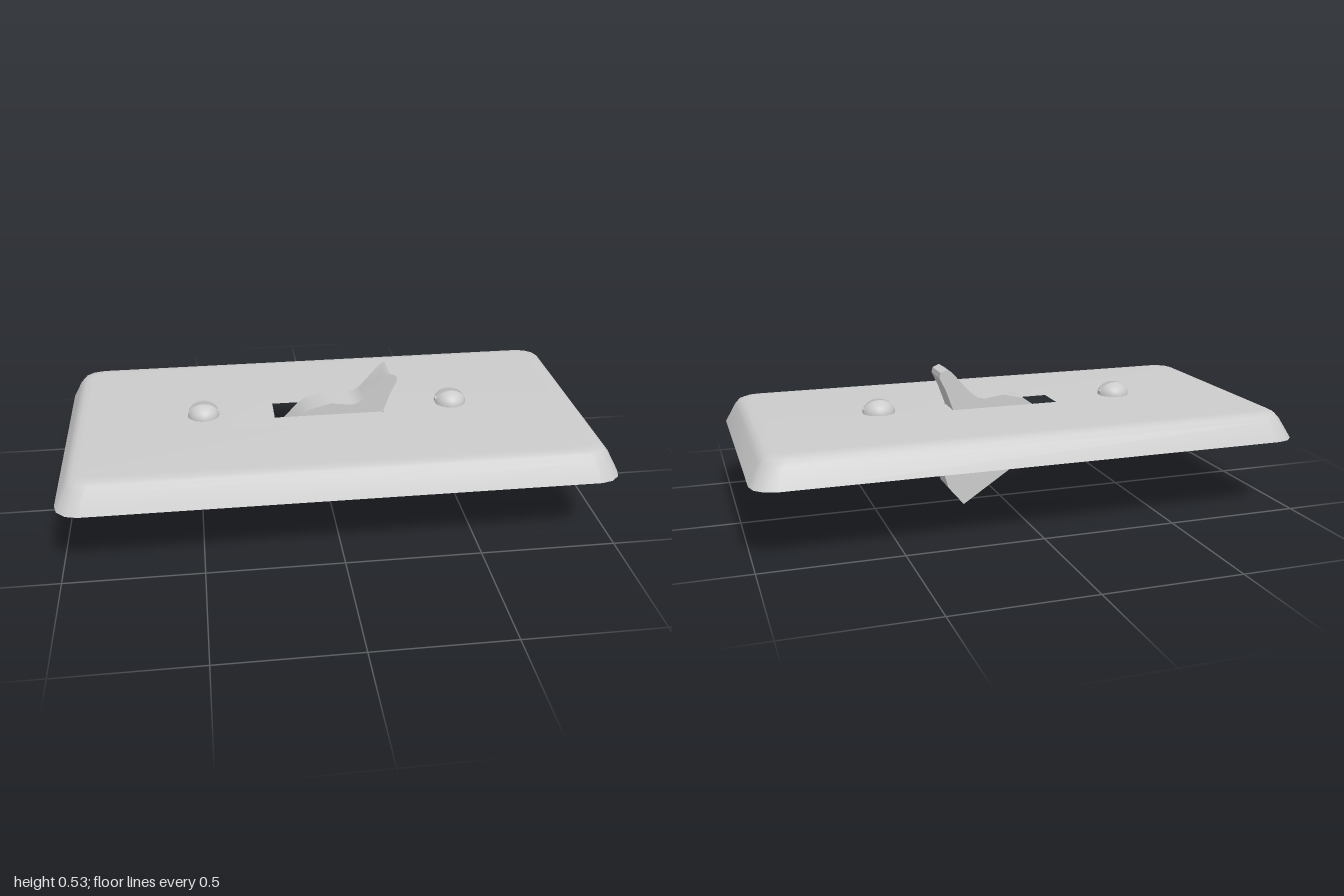
import * as THREE from 'three';
import { mergeGeometries, toCreasedNormals } from 'three/addons/utils/BufferGeometryUtils.js';

const material = new THREE.MeshStandardMaterial({ color: 0xcccccc, side: THREE.DoubleSide });
const TOP = 0.38;
const SLOT = 0.012; // half width of the screw slot

function addMesh(parent, name, geometry) {
  const mesh = new THREE.Mesh(geometry, material);
  mesh.name = name;
  parent.add(mesh);
  return mesh;
}

// Rounded rectangle seen from above, counter-clockwise, as (x, -z) points
function outline(inset) {
  const hx = 1 - inset, hz = 0.523 - inset, r = 0.085 - inset * 0.3, steps = 3;
  const points = [];
  [[1, 1], [-1, 1], [-1, -1], [1, -1]].forEach(([sx, sz], corner) => {
    for (let i = 0; i <= steps; i++) {
      const a = (corner + i / steps) * Math.PI / 2;
      points.push(new THREE.Vector2(sx * (hx - r) + r * Math.cos(a), sz * (hz - r) + r * Math.sin(a)));
    }
  });
  return points;
}

// Open-backed cover: sloping rim rings plus a flat top with the lever opening
function plateGeometry() {
  const profile = [[0, 0.28], [0.036, 0.352], [0.05, 0.37], [0.066, 0.378], [0.088, TOP]];
  const positions = [], index = [];
  const n = outline(0).length;
  profile.forEach(([inset, y], k) => {
    outline(inset).forEach((p, i) => {
      positions.push(p.x, y, -p.y);
      if (k === 0) return;
      const j = (i + 1) % n, a = (k - 1) * n, b = k * n;
      index.push(a + i, a + j, b + j, a + i, b + j, b + i);
    });
  });
  const rim = new THREE.BufferGeometry();
  rim.setAttribute('position', new THREE.Float32BufferAttribute(positions, 3));
  rim.setIndex(index);

  const face = new THREE.Shape(outline(0.088));
  face.holes.push(new THREE.Path([[-0.21, -0.06], [-0.21, 0.06], [0.205, 0.06], [0.205, -0.06]]
    .map(([x, y]) => new THREE.Vector2(x, y))));
  const top = new THREE.ShapeGeometry(face).rotateX(-Math.PI / 2).translate(0, TOP, 0);
  top.deleteAttribute('uv');
  top.deleteAttribute('normal');
  return toCreasedNormals(mergeGeometries([rim.toNonIndexed(), top.toNonIndexed()]), 0.7);
}

// Lever and its wedge-shaped rocker, one side profile extruded across z
function leverGeometry() {
  const side = [
    [-0.21, 0.25], [0.165, 0.003], [0.225, 0.075], [0.255, 0.18], [0.24, 0.28], [0.203, TOP],
    [0.23, 0.455], [0.254, 0.505], [0.25, 0.525], [0.225, 0.535], [0.205, 0.523], [0.13, 0.437],
    [0.105, 0.42], [0.08, 0.415], [0.005, 0.425], [-0.075, 0.405], [-0.112, TOP], [-0.198, 0.285],
  ].map(([x, y]) => new THREE.Vector2(x, y));
  const geometry = new THREE.ExtrudeGeometry(new THREE.Shape(side), { depth: 0.116, bevelEnabled: false });
  return toCreasedNormals(geometry.translate(0, 0, -0.058), 0.6);
}

// Domed screw head: two half domes either side of a slot running along x
function createScrew(name, x) {
  const screw = new THREE.Group();
  screw.name = name;
  screw.position.set(x, TOP, 0);
  const radius = 0.061, squash = 0.05 / radius;
  const wallRadius = Math.sqrt(radius * radius - SLOT * SLOT);
  for (const s of [1, -1]) {
    const dome = new THREE.SphereGeometry(radius, 16, 8, 0, Math.PI, 0, Math.acos(SLOT / radius))
      .rotateX(-Math.PI / 2).rotateZ(Math.PI);
    // make the pole point along +z and the half dome rise along +y
    const p = dome.attributes.position;
    for (let i = 0; i < p.count; i++) {
      p.setXYZ(i, p.getX(i), Math.abs(p.getY(i)) * squash, Math.abs(p.getZ(i)));
    }
    dome.computeVertexNormals();
    // ensure outward winding before turning the piece to its side
    const nrm = dome.attributes.normal;
    let facing = 0;
    for (let i = 0; i < p.count; i++) facing += nrm.getY(i);
    if (facing < 0) {
      const idx = dome.index;
      for (let i = 0; i < idx.count; i += 3) {
        const t = idx.getX(i);
        idx.setX(i, idx.getX(i + 1));
        idx.setX(i + 1, t);
      }
      dome.computeVertexNormals();
    }
    if (s < 0) dome.rotateY(Math.PI);
    addMesh(screw, 'screwDome', dome);

    const wall = new THREE.CircleGeometry(wallRadius, 16, 0, Math.PI).scale(1, squash, 1);
    if (s > 0) wall.rotateY(Math.PI);
    addMesh(screw, 'slotWall', wall.translate(0, 0, s * SLOT));
  }
  addMesh(screw, 'slotFloor', new THREE.BoxGeometry(0.116, 0.015, SLOT * 2).translate(0, 0.0075, 0));
  addMesh(screw, 'screwBase', new THREE.CircleGeometry(radius, 24).rotateX(Math.PI / 2).translate(0, -0.002, 0));
  return screw;
}

export function createModel() {
  const model = new THREE.Group();
  model.name = 'lightSwitch';
  addMesh(model, 'coverPlate', plateGeometry());
  addMesh(model, 'lever', leverGeometry());
  model.add(createScrew('leftScrew', 0.475), createScrew('rightScrew', -0.475));
  return model;
}
